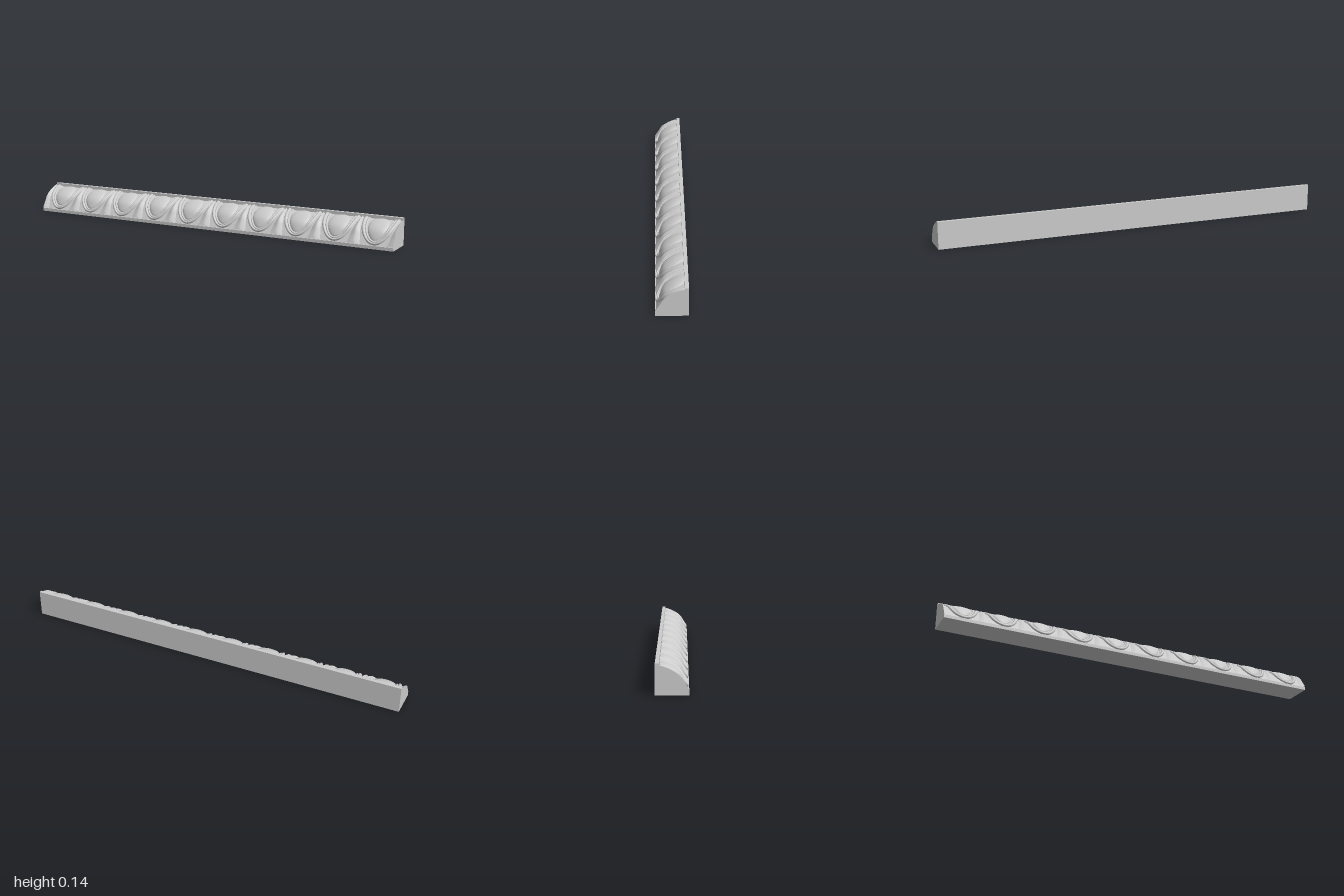
import * as THREE from 'three';
import { ParametricGeometry } from 'three/addons/geometries/ParametricGeometry.js';

const material = new THREE.MeshStandardMaterial({ color: 0xcccccc, side: THREE.DoubleSide });

// Recessed ground of the quarter-round, as (z, y) from bottom to top
const ground = new THREE.SplineCurve([
  [0.068, 0.016], [0.047, 0.048], [0.026, 0.079], [-0.008, 0.102], [-0.036, 0.114], [-0.055, 0.119],
].map(([z, y]) => new THREE.Vector2(z, y)));

// x along the moulding, s (0..1) up the ground curve, d outward from it
function onGround(x, s, d, target) {
  const t = THREE.MathUtils.clamp(s, 0, 1);
  const p = ground.getPointAt(t), tan = ground.getTangentAt(t);
  target.set(
    THREE.MathUtils.clamp(x, -1, 1),
    p.y - tan.x * d,
    Math.min(0.073, p.x + tan.y * d)
  );
}

// Relief patch: fn(u, v) returns [x, s, d] around the centre x0
function relief(name, x0, nu, nv, fn) {
  const geo = new ParametricGeometry((u, v, target) => {
    const [x, s, d] = fn(u, v);
    onGround(x0 + x, s, d, target);
  }, nu, nv);
  geo.computeVertexNormals();
  const mesh = new THREE.Mesh(geo, material);
  mesh.name = name;
  return mesh;
}

// Solid body with a bottom fillet and a raised top fillet
function body() {
  const shape = new THREE.Shape();
  shape.moveTo(-0.072, 0);
  shape.lineTo(0.073, 0);
  shape.lineTo(0.073, 0.016);
  ground.getSpacedPoints(24).forEach(p => shape.lineTo(p.x, p.y));
  shape.lineTo(-0.055, 0.135);
  shape.lineTo(-0.072, 0.135);
  const geo = new THREE.ExtrudeGeometry(shape, { depth: 2, bevelEnabled: false });
  geo.translate(0, 0, -1).rotateY(-Math.PI / 2);
  const mesh = new THREE.Mesh(geo, material);
  mesh.name = 'body';
  return mesh;
}

// Domed egg, broader towards the top
const egg = x0 => relief('egg', x0, 40, 12, (u, v) => {
  const a = u * Math.PI * 2, r = Math.sin((1 - v) * Math.PI / 2);
  return [
    r * 0.049 * Math.cos(a) * (1 + 0.14 * Math.sin(a)),
    0.6 + r * 0.45 * Math.sin(a),
    -0.001 + 0.012 * Math.sqrt(Math.max(0, 1 - r * r)),
  ];
});

// U-shaped rounded band around an egg
const band = (name, x0, inner, outer, height) => relief(name, x0, 48, 8, (u, v) => {
  const a = u * Math.PI;
  const rx = THREE.MathUtils.lerp(inner[0], outer[0], v);
  const rs = THREE.MathUtils.lerp(inner[1], outer[1], v);
  return [
    rx * Math.cos(a),
    1 - rs * Math.sin(a),
    -0.001 + height * Math.sqrt(Math.max(0, 1 - (2 * v - 1) ** 2)),
  ];
});

// Ridged dart, wide at the foot and pointed at the top
const dart = x0 => relief('dart', x0, 12, 20, (u, v) => {
  const k = 2 * u - 1;
  const width = 0.005 + 0.031 * Math.pow(1 - v, 1.2);
  return [k * width, v, -0.001 + 0.0095 * (1 - Math.abs(k) ** 1.3)];
});

export function createModel() {
  const model = new THREE.Group();
  model.name = 'eggAndDartMoulding';
  model.add(body());
  for (let i = 0; i < 10; i++) {
    const x = -0.9 + i * 0.2;
    model.add(
      egg(x),
      band('innerShell', x, [0.060, 0.87], [0.071, 0.92], 0.006),
      band('outerShell', x, [0.070, 0.91], [0.090, 0.99], 0.010)
    );
  }
  for (let i = 0; i <= 10; i++) model.add(dart(-1 + i * 0.2));
  return model;
}
